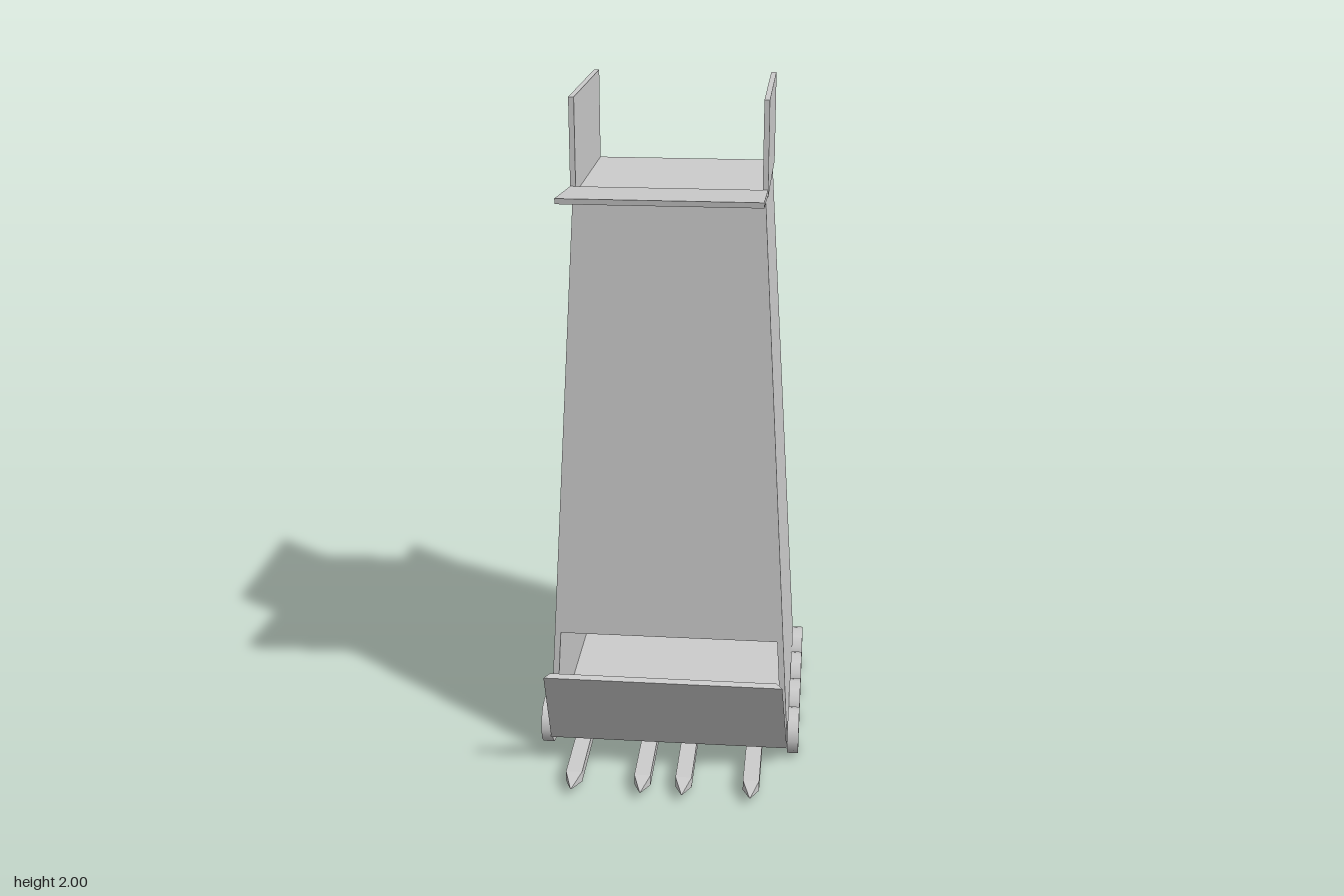
import * as THREE from 'three';

const Y0 = 0.06, Y1 = 1.74, T = 0.018;
const lerp = (a, b, t) => a + (b - a) * t;
const rise = (y) => (y - Y0) / (Y1 - Y0);
// Tapering outline of the tower at height y
const halfWidth = (y) => lerp(0.362, 0.262, rise(y));
const frontZ = (y) => lerp(0.24, 0.2, rise(y));
const backZ = (y) => lerp(-0.478, -0.3, rise(y));

export function createModel() {
  const tower = new THREE.Group();
  tower.name = 'siegeTower';
  const mat = new THREE.MeshStandardMaterial({ color: 0xcccccc });

  const add = (name, geo) => {
    const mesh = new THREE.Mesh(geo, mat);
    mesh.name = name;
    tower.add(mesh);
    return mesh;
  };

  // Box whose corners are placed by rule(u, v, w), each 0 or 1 along x, y, z
  const panel = (name, rule) => {
    const geo = new THREE.BoxGeometry(1, 1, 1);
    const p = geo.attributes.position;
    for (let i = 0; i < p.count; i++) {
      p.setXYZ(i, ...rule(p.getX(i) + 0.5, p.getY(i) + 0.5, p.getZ(i) + 0.5));
    }
    geo.computeVertexNormals();
    return add(name, geo);
  };

  // Horizontal floor filling the tower between its walls
  const floor = (name, top, thick, sideInset, backInset, frontInset) =>
    panel(name, (u, v, w) => {
      const y = top - thick * (1 - v);
      const hw = halfWidth(y) - sideInset;
      return [lerp(-hw, hw, u), y, lerp(backZ(y) + backInset, frontZ(y) - frontInset, w)];
    });

  // Side walls and parapets
  for (const s of [-1, 1]) {
    const side = s > 0 ? 'left' : 'right';
    panel(side + 'Wall', (u, v, w) => {
      const y = lerp(Y0, Y1, v);
      const outer = s > 0 ? u : 1 - u;
      return [s * (halfWidth(y) - T * (1 - outer)), y, lerp(backZ(y), frontZ(y), w)];
    });
    const parapet = add(side + 'Parapet', new THREE.BoxGeometry(0.015, 2 - Y1, 0.5));
    parapet.position.set(s * 0.261, (2 + Y1) / 2, -0.05);
  }

  // Front wall above the gate opening
  panel('frontWall', (u, v, w) => {
    const y = lerp(0.415, Y1, v);
    const hw = halfWidth(y) - 0.002;
    return [lerp(-hw, hw, u), y, frontZ(y) - T * (1 - w)];
  });

  // Floors, open to the back
  floor('baseFloor', Y0 + T, T, 0.002, 0.001, 0.001);
  [0.46, 0.9, 1.39].forEach((y, i) => floor('storey' + (i + 1), y, 0.008, 0.015, 0.012, 0.01));
  floor('topDeck', Y1 + 0.002, 0.012, 0, 0, 0);

  // Lower ramp, hinged at the base, with mitred edges on its inner face
  panel('lowerRamp', (u, v, w) => {
    const inset = 0.017 * (1 - w);
    const hw = lerp(0.36, 0.345, v) - inset;
    return [
      lerp(-hw, hw, u),
      lerp(Y0, 0.366, v) + 0.008 * (1 - w),
      lerp(0.24, 0.42, v) - 0.015 * (1 - w),
    ];
  });

  // Upper drawbridge, tilted slightly upward
  panel('drawbridge', (u, v, w) => [
    lerp(-0.268, 0.268, u),
    lerp(1.745, 1.77, w) + 0.015 * v,
    lerp(0.2, 0.464, w) + 0.002 * v,
  ]);

  // Wheels
  for (const s of [-1, 1]) {
    for (const z of [0.15, -0.026, -0.202, -0.378]) {
      const geo = new THREE.CylinderGeometry(0.07, 0.07, 0.034, 12).rotateZ(Math.PI / 2);
      add('wheel', geo).position.set(s * 0.377, 0.071, z);
    }
  }

  // Grooved ram spikes under the base, tapering to a point
  const section = new THREE.Shape([
    [-0.024, 0.047], [-0.024, 0.014], [0, 0.03], [0.024, 0.014], [0.024, 0.047],
  ].map(([x, y]) => new THREE.Vector2(x, y)));
  for (const x of [-0.265, -0.061, 0.061, 0.26]) {
    const geo = new THREE.ExtrudeGeometry(section, { depth: 2, steps: 2, bevelEnabled: false });
    const p = geo.attributes.position;
    for (let i = 0; i < p.count; i++) {
      const layer = Math.round(p.getZ(i));
      if (layer === 2) p.setXYZ(i, p.getX(i) * 0.04, lerp(0.031, p.getY(i), 0.04), 0.473);
      else p.setZ(i, layer === 1 ? 0.405 : 0);
    }
    geo.computeVertexNormals();
    add('ramSpike', geo).position.x = x;
  }

  return tower;
}
